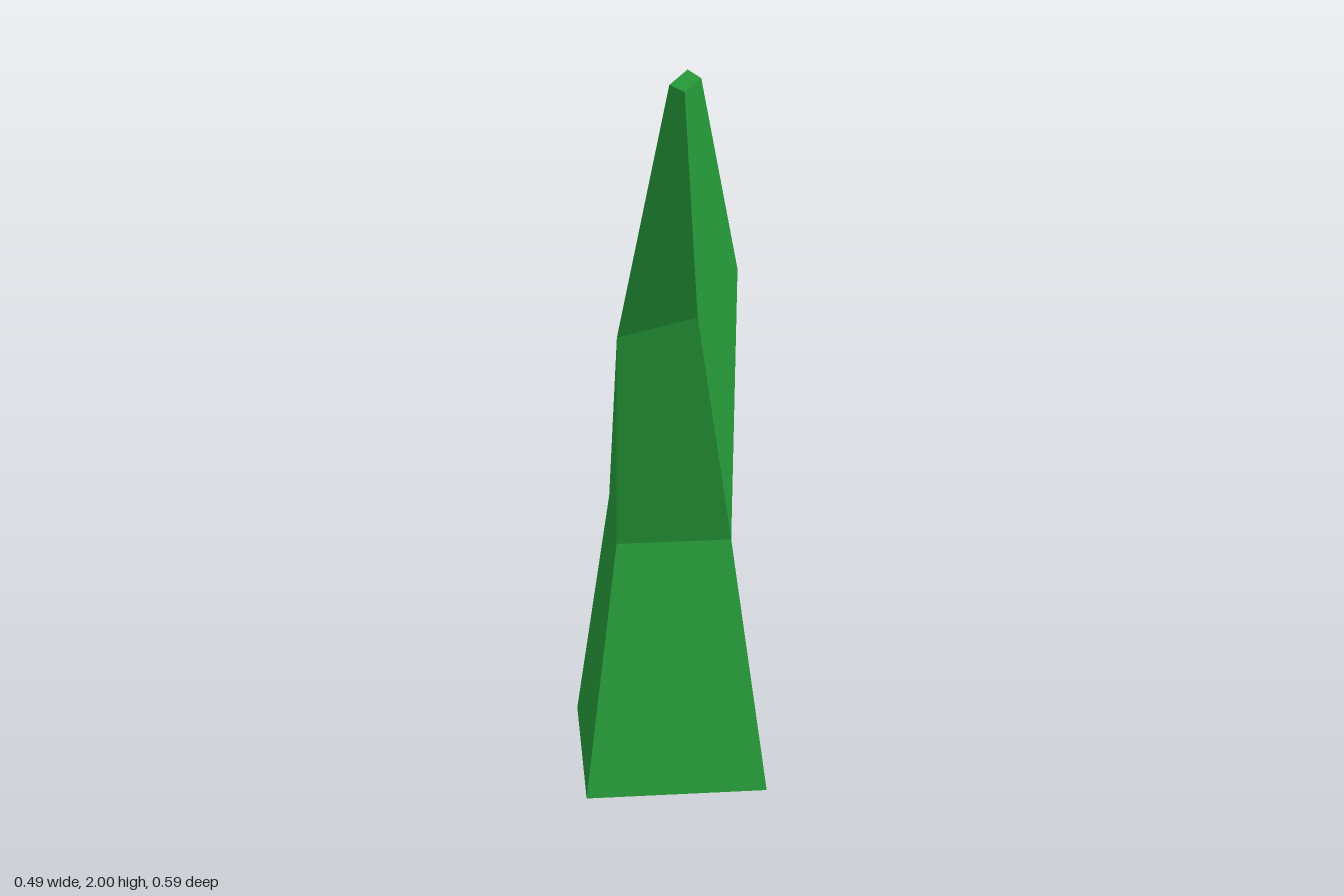
import * as THREE from 'three';

// Four-cornered cross-sections from ground to tip,
// corners in order: front -x, front +x, back +x, back -x
const square = (half, y, zc) =>
  [[-1, 1], [1, 1], [1, -1], [-1, -1]].map(([x, z]) => new THREE.Vector3(x * half, y, zc + z * half));
const ring = (...pts) => pts.map((p) => new THREE.Vector3(...p));

const sections = [
  square(0.243, 0, -0.05),
  square(0.15, 0.71, -0.05),
  ring([-0.145, 1.29, 0.115], [0.045, 1.385, 0.24], [0.167, 1.43, 0.025], [-0.025, 1.335, -0.1]),
  ring([-0.025, 1.97, 0.248], [0.007, 1.965, 0.292], [0.048, 1.99, 0.268], [0.02, 2, 0.225]),
];

function loftGeometry(rings) {
  const positions = [];
  const normals = [];
  // One flat normal per four-sided facet, split along a-c
  const quad = (a, b, c, d) => {
    const n = c.clone().sub(a).cross(d.clone().sub(b)).normalize();
    for (const p of [a, b, c, a, c, d]) {
      positions.push(p.x, p.y, p.z);
      normals.push(n.x, n.y, n.z);
    }
  };
  // Sides
  for (let r = 0; r < rings.length - 1; r++) {
    for (let i = 0; i < 4; i++) {
      const j = (i + 1) % 4;
      quad(rings[r][i], rings[r][j], rings[r + 1][j], rings[r + 1][i]);
    }
  }
  // Tip and underside
  quad(...rings[rings.length - 1]);
  quad(...[...rings[0]].reverse());

  const geometry = new THREE.BufferGeometry();
  geometry.setAttribute('position', new THREE.Float32BufferAttribute(positions, 3));
  geometry.setAttribute('normal', new THREE.Float32BufferAttribute(normals, 3));
  return geometry;
}

export function createModel() {
  const model = new THREE.Group();
  model.name = 'grassBlade';
  const blade = new THREE.Mesh(loftGeometry(sections), new THREE.MeshStandardMaterial({ color: 0x28a03c }));
  blade.name = 'blade';
  model.add(blade);
  return model;
}
